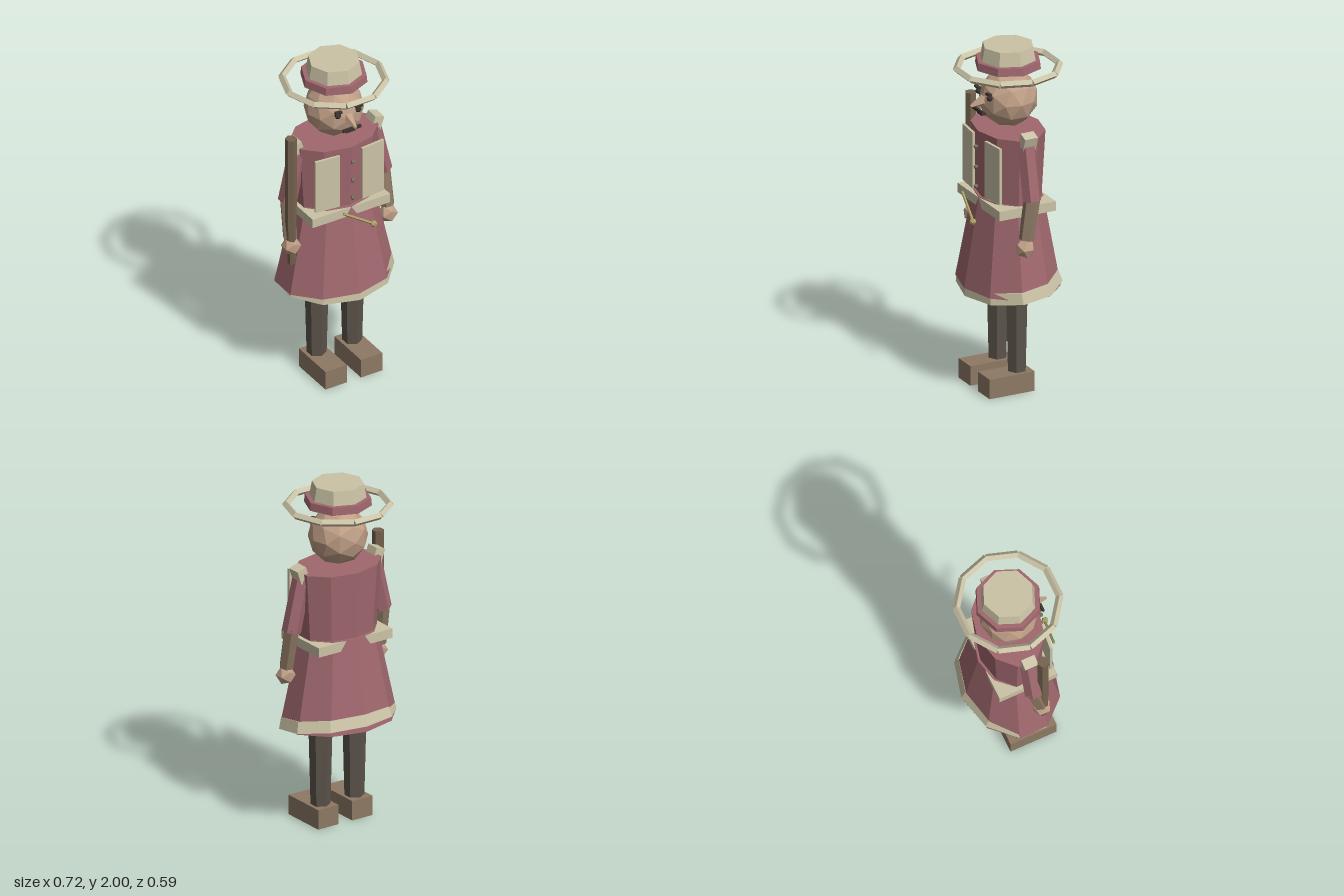
import * as THREE from 'three';

const mat = (name, color) => {
  const m = new THREE.MeshStandardMaterial({ color, flatShading: true });
  m.name = name;
  return m;
};

export function createModel() {
  const cloth = mat('rose cloth', 0xa0686e);
  const cream = mat('cream trim', 0xcbc3a6);
  const skin = mat('skin', 0xbf9f86);
  const wood = mat('brown wood', 0x8e7964);
  const darkWood = mat('dark wood', 0x75634f);
  const trouser = mat('charcoal cloth', 0x5c544b);
  const dark = mat('dark features', 0x3d342f);
  const gold = mat('gold', 0xaba263);
  const olive = mat('olive button', 0x74745a);

  const model = new THREE.Group();
  model.name = 'figure';

  const add = (name, geometry, material, x, y, z, parent = model) => {
    const mesh = new THREE.Mesh(geometry, material);
    mesh.name = name;
    mesh.position.set(x, y, z);
    parent.add(mesh);
    return mesh;
  };
  const box = (name, w, h, d, material, x, y, z) =>
    add(name, new THREE.BoxGeometry(w, h, d), material, x, y, z);
  // Upright tapered prism between two heights, widened in x
  const prism = (name, rTop, rBottom, y0, y1, sides, material, x = 0, z = 0, wide = 1) => {
    const mesh = add(name, new THREE.CylinderGeometry(rTop, rBottom, y1 - y0, sides), material, x, (y0 + y1) / 2, z);
    mesh.scale.x = wide;
    return mesh;
  };
  // Tapered prism from point a to point b
  const limb = (name, a, b, rA, rB, sides, material) => {
    const from = new THREE.Vector3(...a), to = new THREE.Vector3(...b);
    const dir = to.clone().sub(from);
    const mid = from.clone().add(to).multiplyScalar(0.5);
    const mesh = add(name, new THREE.CylinderGeometry(rB, rA, dir.length(), sides), material, mid.x, mid.y, mid.z);
    mesh.quaternion.setFromUnitVectors(new THREE.Vector3(0, 1, 0), dir.normalize());
    return mesh;
  };

  // Coat: torso, flared skirt, tilted hem, belt block showing at the corners
  prism('torso', 0.187, 0.167, 1.12, 1.52, 10, cloth, 0, 0, 1.42);
  prism('skirt', 0.182, 0.272, 0.605, 1.13, 10, cloth, 0, 0, 1.29);
  const hem = prism('hem', 0.264, 0.279, 0.6, 0.665, 10, cream, 0.005, 0, 1.27);
  hem.rotation.x = 0.145;
  box('belt', 0.5, 0.055, 0.35, cream, 0, 1.098, 0.008);

  // Buttons and slanted baton at the waist
  for (const y of [1.43, 1.31, 1.195])
    add('button', new THREE.IcosahedronGeometry(0.014, 0), olive, 0, y, 0.2);
  limb('baton', [-0.085, 1.14, 0.24], [0.09, 1.032, 0.265], 0.008, 0.008, 5, gold);
  add('batonKnob', new THREE.IcosahedronGeometry(0.021, 0), gold, 0.093, 1.03, 0.268);

  for (const s of [-1, 1]) {
    // Coat fronts and shoulder pieces
    const lapel = box('coatPanel', 0.15, 0.33, 0.016, cream, s * 0.146, 1.318, 0.168);
    lapel.rotation.y = s * 0.1;
    const pad = box('shoulderPiece', 0.06, 0.085, 0.08, cream, s * 0.255, 1.512, 0.008);
    pad.rotation.z = -s * 0.32;

    // Arms
    limb('upperArm', [s * 0.24, 1.48, 0.01], [s * 0.308, 1.18, 0.012], 0.052, 0.054, 6, cloth);
    limb('lowerArm', [s * 0.305, 1.21, 0.008], [s * 0.314, 0.96, 0.05], 0.047, 0.042, 6, wood);
    add('hand', new THREE.IcosahedronGeometry(0.056, 0), skin, s * 0.313, 0.91, 0.058);

    // Legs and shoes
    prism('thigh', 0.078, 0.072, 0.545, 0.68, 6, trouser, s * 0.115, 0.005);
    prism('leg', 0.067, 0.055, 0.1, 0.58, 6, trouser, s * 0.115, 0.005);
    box('shoe', 0.138, 0.115, 0.28, wood, s * 0.115, 0.0575, 0.07);

    // Eyes and brows
    add('eye', new THREE.IcosahedronGeometry(0.02, 0), dark, s * 0.066, 1.728, 0.148);
    const brow = box('brow', 0.042, 0.012, 0.02, dark, s * 0.066, 1.752, 0.155);
    brow.rotation.z = s * 0.12;
  }

  // Staff held in the right hand
  prism('staff', 0.034, 0.031, 0.96, 1.62, 6, darkWood, -0.318, 0.065);
  prism('staffTip', 0.024, 0.022, 0.8, 0.98, 6, darkWood, -0.313, 0.065);

  // Head, nose and mouth
  add('head', new THREE.IcosahedronGeometry(0.167, 1), skin, 0, 1.69, 0);
  limb('nose', [0, 1.7, 0.145], [0, 1.672, 0.232], 0.032, 0.008, 5, skin);
  box('moustache', 0.115, 0.018, 0.012, dark, 0, 1.646, 0.19);
  box('mouth', 0.06, 0.01, 0.03, dark, 0, 1.622, 0.165);

  // Hat: crown, band and open ten-piece brim ring
  prism('hatCrown', 0.145, 0.17, 1.865, 2.0, 8, cream);
  prism('hatBand', 0.185, 0.19, 1.875, 1.92, 8, cloth);
  const corner = (i) => {
    const a = (i * Math.PI) / 5;
    return [0.287 * Math.cos(a), 1.868, 0.287 * Math.sin(a)];
  };
  for (let i = 0; i < 10; i++) {
    const a = corner(i), b = corner(i + 1);
    const length = Math.hypot(b[0] - a[0], b[2] - a[2]);
    const bar = add('brimBar', new THREE.CylinderGeometry(0.021, 0.021, length, 4).rotateZ(Math.PI / 2),
      cream, (a[0] + b[0]) / 2, 1.868, (a[2] + b[2]) / 2);
    bar.rotation.y = -Math.atan2(b[2] - a[2], b[0] - a[0]);
  }
  return model;
}
